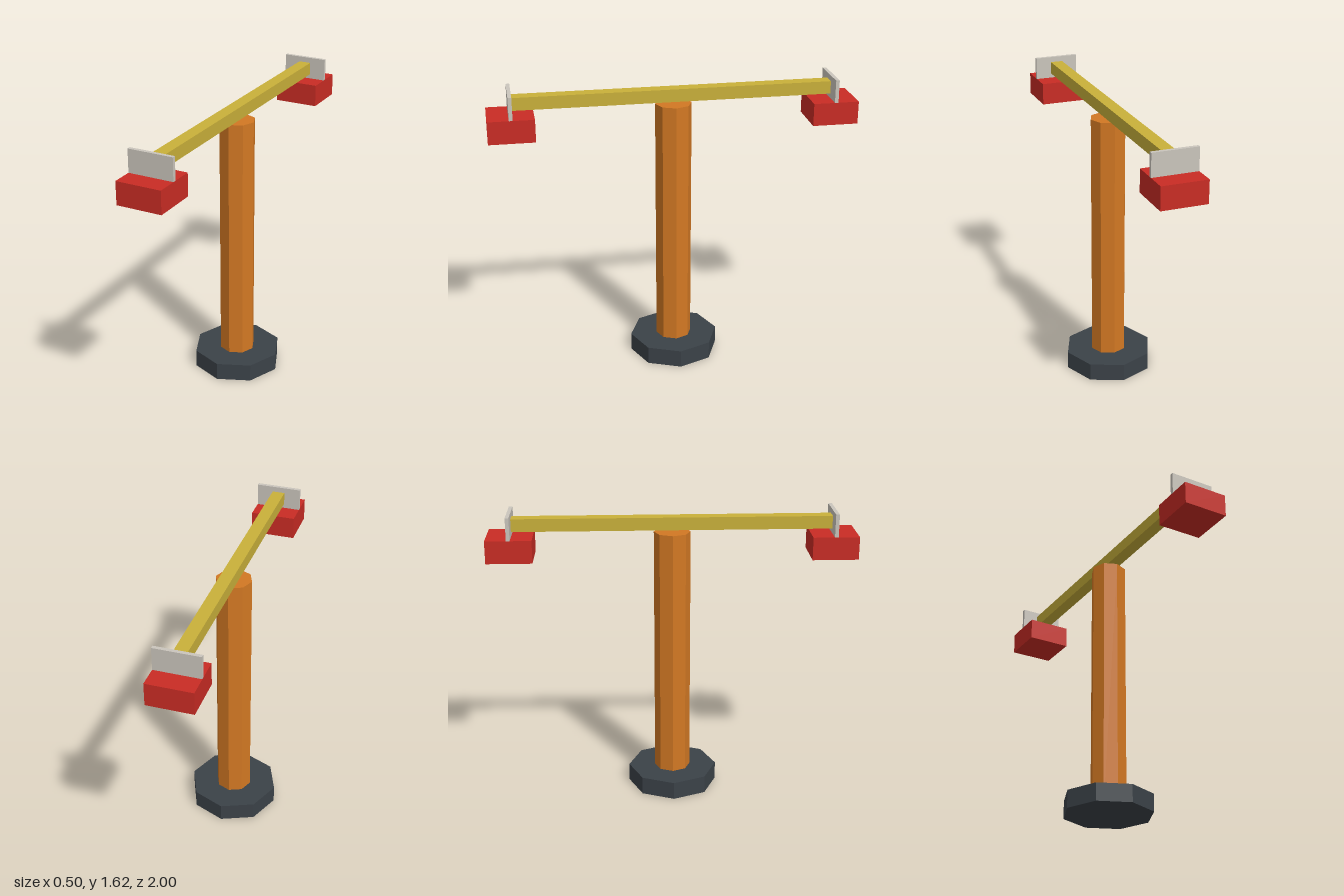
import * as THREE from 'three';

function material(name, color) {
  const m = new THREE.MeshStandardMaterial({ color });
  m.name = name;
  m.flatShading = true;
  return m;
}

export function createModel() {
  const model = new THREE.Group();
  model.name = 'balanceStand';

  const charcoal = material('charcoal', 0x3b4248);
  const orange = material('orange', 0xd27823);
  const yellow = material('yellow', 0xc9b03a);
  const red = material('red', 0xc92c24);
  const paleGrey = material('paleGrey', 0xcac5bc);

  const add = (name, geometry, mat, y, z = 0) => {
    const mesh = new THREE.Mesh(geometry, mat);
    mesh.name = name;
    mesh.position.set(0, y, z);
    model.add(mesh);
  };

  // Octagonal foot and post
  add('base', new THREE.CylinderGeometry(0.25, 0.25, 0.1, 8), charcoal, 0.05);
  add('post', new THREE.CylinderGeometry(0.1, 0.1, 1.49, 8), orange, 0.755);

  // Crossbeam, hovering just above the post
  add('beam', new THREE.BoxGeometry(0.07, 0.07, 1.73), yellow, 1.55);

  // End plate and block at each end of the beam
  for (const [end, side] of [['front', 1], ['back', -1]]) {
    add(end + 'Plate', new THREE.BoxGeometry(0.25, 0.125, 0.02), paleGrey, 1.5525, side * 0.875);
    add(end + 'Block', new THREE.BoxGeometry(0.25, 0.125, 0.25), red, 1.4275, side * 0.875);
  }

  return model;
}
